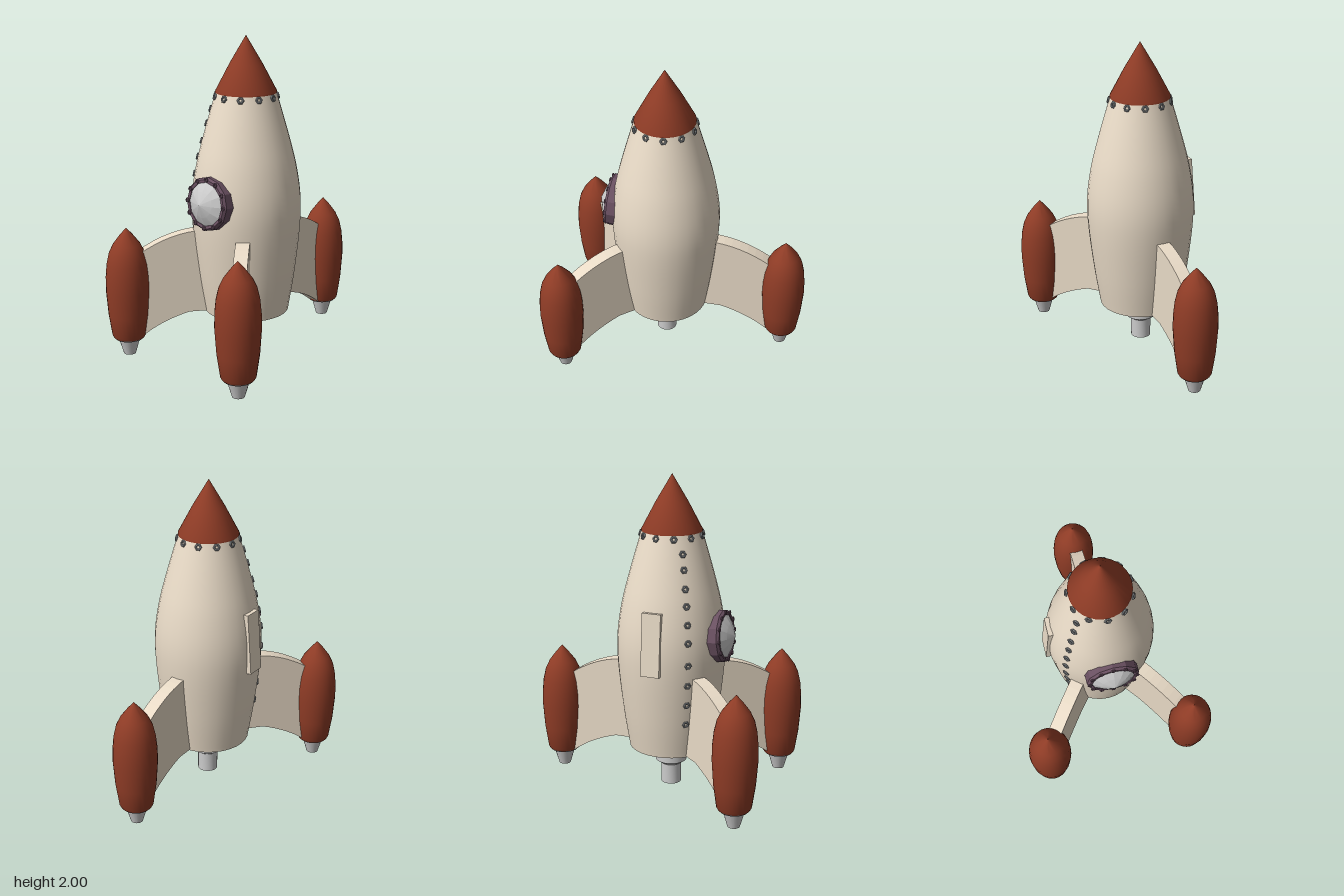
import * as THREE from 'three';
import { toCreasedNormals } from 'three/addons/utils/BufferGeometryUtils.js';

const mat = (color) => new THREE.MeshStandardMaterial({ color });
const V2 = (p) => new THREE.Vector2(p[0], p[1]);
const AXIS_Z = 0.09; // the hull's axis sits a little forward of the centre

export function createModel() {
  const cream = mat(0xe9dbc7), red = mat(0x8f3c26), purple = mat(0x6b5162), grey = mat(0xcccccc);
  const steel = mat(0x85898c);
  const rocket = new THREE.Group();
  rocket.name = 'rocket';

  const add = (name, geometry, material, parent = rocket) => {
    const mesh = new THREE.Mesh(geometry, material);
    mesh.name = name;
    parent.add(mesh);
    return mesh;
  };
  // Turned part: profile of [radius, y], listed from the bottom (inside first) to the top
  const turned = (name, profile, segments, material, parent, crease = 0.5) =>
    add(name, toCreasedNormals(new THREE.LatheGeometry(profile.map(V2), segments), crease), material, parent);

  // Hull
  const hull = new THREE.Group();
  hull.name = 'hull';
  hull.position.z = AXIS_Z;
  rocket.add(hull);
  const curve = new THREE.SplineCurve([
    [0.265, 0.265], [0.302, 0.5], [0.335, 0.8], [0.338, 1.0], [0.31, 1.2], [0.26, 1.4], [0.185, 1.66],
  ].map(V2)).getPoints(30);
  const hullRadius = (y) => {
    const i = Math.max(1, curve.findIndex((p) => p.y >= y));
    const a = curve[i - 1], b = curve[i];
    return a.x + (b.x - a.x) * (y - a.y) / (b.y - a.y);
  };
  const hullTilt = (y) => Math.atan((hullRadius(y + 0.02) - hullRadius(y - 0.02)) / 0.04);
  turned('body', [[0, 0.32], [0.225, 0.31], [0.23, 0.265], ...curve.map((p) => [p.x, p.y])], 32, cream, hull);
  turned('noseCone', [[0, 1.655], [0.188, 1.655], [0.187, 1.665], [0.1, 1.83], [0, 2]], 32, red, hull);

  // Main engine under the hull
  turned('engineDish', [[0.09, 0.215], [0.105, 0.22], [0.2, 0.262], [0.2, 0.32]], 28, steel, hull);
  turned('engineNozzle', [[0, 0.06], [0.048, 0.06], [0.052, 0], [0.064, 0], [0.064, 0.13],
    [0.1, 0.155], [0.1, 0.225], [0, 0.225]], 24, grey, hull);

  // Places an object on the hull, facing outward; angle is measured from the front towards +x
  const onHull = (object, angle, y, lift = 0) => {
    const r = hullRadius(y) + lift;
    object.position.set(Math.sin(angle) * r, y, Math.cos(angle) * r);
    object.rotation.set(hullTilt(y), angle, 0, 'YXZ');
    hull.add(object);
  };

  // Hexagonal rivets round the neck and down one seam
  const rivetGeometry = toCreasedNormals(new THREE.TorusGeometry(0.016, 0.0075, 6, 6), 0.5);
  const rivet = (angle, y) => {
    const mesh = new THREE.Mesh(rivetGeometry, steel);
    mesh.name = 'rivet';
    onHull(mesh, angle, y, 0.003);
  };
  for (let i = 0; i < 11; i++) rivet((i / 11) * Math.PI * 2, 1.635);
  for (const y of [1.55, 1.46, 1.35, 1.25, 1.14, 1.03, 0.89, 0.76, 0.63, 0.5]) rivet(-0.9, y);

  // Porthole: riveted twelve-sided frame with a shallow pointed pane
  const porthole = new THREE.Group();
  porthole.name = 'porthole';
  const frame = turned('portholeFrame', [[0.165, -0.06], [0.165, 0.012], [0.152, 0.027], [0.134, 0.025], [0.13, -0.01]],
    12, purple, porthole, 0.3);
  const pane = turned('portholePane', [[0.138, 0.018], [0.08, 0.052], [0, 0.08]], 12, grey, porthole, 0.2);
  for (const part of [frame, pane]) part.rotation.x = Math.PI / 2;
  for (let i = 0; i < 12; i++) {
    const a = (i / 12) * Math.PI * 2;
    const stud = add('portholeRivet', rivetGeometry, purple, porthole);
    stud.scale.setScalar(0.7);
    stud.position.set(Math.sin(a) * 0.148, Math.cos(a) * 0.148, 0.027);
  }
  onHull(porthole, 0, 1.02, 0.003);

  // Hatch on the right side
  const hatch = add('hatch', new THREE.BoxGeometry(0.12, 0.39, 0.04), cream);
  onHull(hatch, -Math.PI / 2, 1.015, -0.008);

  // Fin outline in (distance from axis, y), with arched top and bottom
  const finShape = new THREE.Shape();
  finShape.moveTo(0.24, 0.272);
  finShape.lineTo(0.37, 0.27);
  finShape.quadraticCurveTo(0.55, 0.22, 0.68, 0.115);
  finShape.lineTo(0.73, 0.13);
  finShape.lineTo(0.73, 0.63);
  finShape.quadraticCurveTo(0.53, 0.78, 0.33, 0.8);
  finShape.lineTo(0.24, 0.8);
  const finGeometry = new THREE.ExtrudeGeometry(finShape, { depth: 0.085, bevelEnabled: false, curveSegments: 8 });
  finGeometry.translate(0, 0, -0.0425);

  // Three fins, each carrying a booster
  const boosterProfile = [[0, 0.115], [0.098, 0.115], [0.106, 0.13], [0.126, 0.27], [0.137, 0.43], [0.135, 0.52],
    [0.127, 0.6], [0.111, 0.67], [0.085, 0.725], [0.04, 0.785], [0, 0.83]];
  for (const [side, x, z] of [['left', 0.47, 0.675], ['right', -0.47, 0.675], ['rear', 0, -0.68]]) {
    const fin = add(side + 'Fin', finGeometry, cream, hull);
    fin.rotation.y = Math.atan2(-(z - AXIS_Z), x);
    const booster = new THREE.Group();
    booster.name = side + 'Booster';
    booster.position.set(x, 0, z);
    rocket.add(booster);
    turned('boosterBody', boosterProfile, 28, red, booster);
    turned('boosterCollar', [[0.06, 0.105], [0.088, 0.105], [0.1, 0.12]], 28, steel, booster);
    turned('boosterNozzle', [[0, 0.05], [0.026, 0.05], [0.028, 0], [0.038, 0], [0.07, 0.11]], 20, grey, booster);
  }
  return rocket;
}
